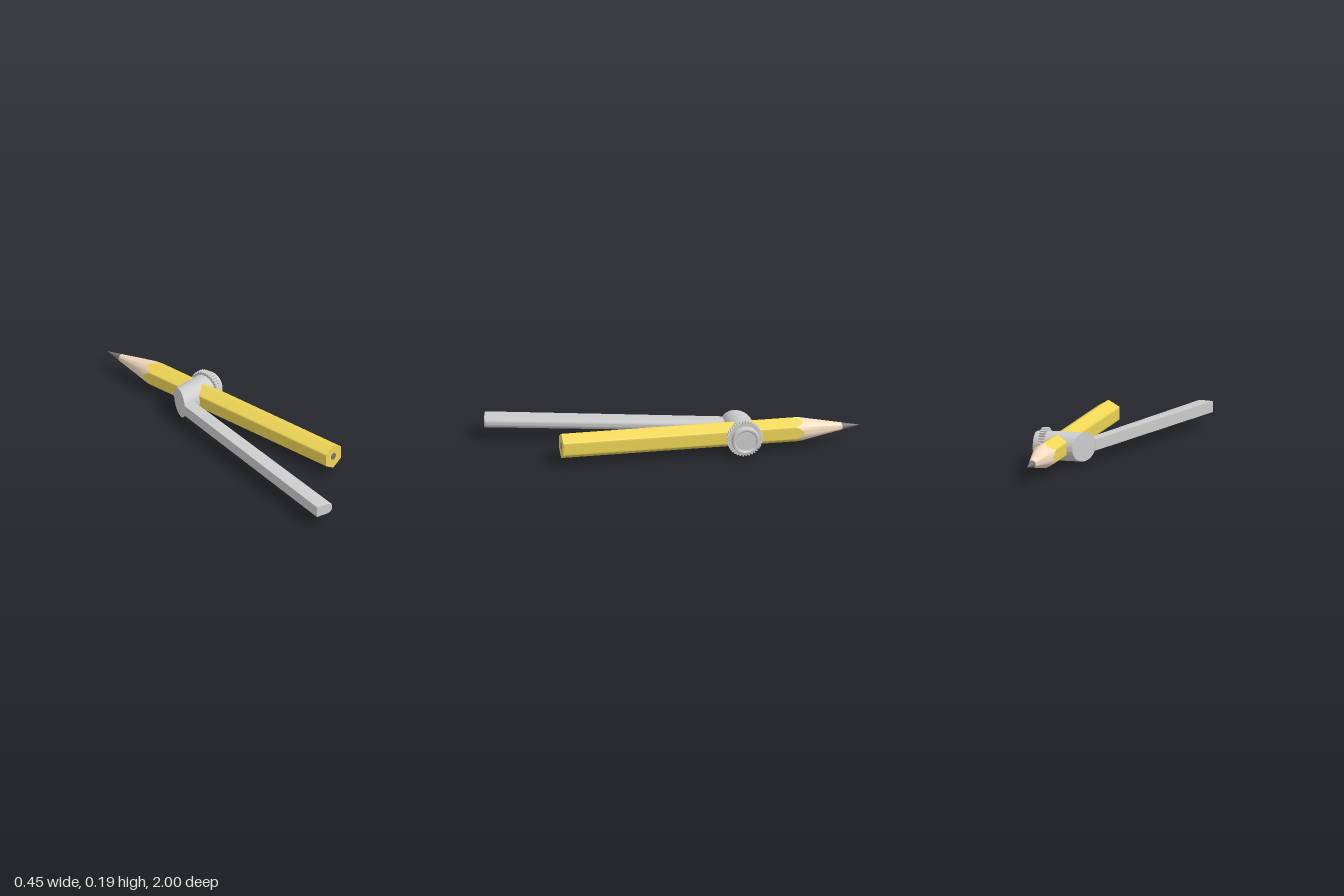
import * as THREE from 'three';
import { toCreasedNormals } from 'three/addons/utils/BufferGeometryUtils.js';

const material = (color) => new THREE.MeshStandardMaterial({ color });
const grey = material(0xcccccc);
const yellow = material(0xeed556);
const wood = material(0xf5dcc0);
const graphite = material(0x75757a);

function part(parent, name, geometry, mat) {
  const mesh = new THREE.Mesh(geometry, mat);
  mesh.name = name;
  parent.add(mesh);
  return mesh;
}

// Skin through closed rings that advance along +z, each counter-clockwise seen from +z
function loft(rings, crease = 0.5, caps = true) {
  const n = rings[0].length;
  const pos = [];
  const idx = [];
  rings.forEach((r) => r.forEach((p) => pos.push(p.x, p.y, p.z)));
  for (let k = 0; k < rings.length - 1; k++) {
    for (let i = 0; i < n; i++) {
      const j = (i + 1) % n;
      const a = k * n + i, b = k * n + j;
      idx.push(a, b, b + n, a, b + n, a + n);
    }
  }
  if (caps) {
    [0, rings.length - 1].forEach((k) => {
      const c = new THREE.Vector3();
      rings[k].forEach((p) => c.addScaledVector(p, 1 / n));
      const ci = pos.length / 3;
      pos.push(c.x, c.y, c.z);
      for (let i = 0; i < n; i++) {
        const a = k * n + i, b = k * n + (i + 1) % n;
        if (k === 0) idx.push(ci, b, a);
        else idx.push(ci, a, b);
      }
    });
  }
  const g = new THREE.BufferGeometry();
  g.setAttribute('position', new THREE.Float32BufferAttribute(pos, 3));
  g.setIndex(idx);
  return toCreasedNormals(g, crease);
}

// Hexagon with slightly rounded corners, one corner at the top
function hexagon(apothem, radius) {
  const pts = [];
  const reach = (apothem - radius) / Math.cos(Math.PI / 6);
  const corner = (c, t) => {
    const a = Math.PI / 2 + c * Math.PI / 3;
    const b = a + t * Math.PI / 6;
    return new THREE.Vector2(
      reach * Math.cos(a) + radius * Math.cos(b),
      reach * Math.sin(a) + radius * Math.sin(b));
  };
  for (let c = 0; c < 6; c++) {
    for (let s = 0; s <= 4; s++) pts.push(corner(c, s / 2 - 1));
    // points along the flat, for the scalloped paint edge
    for (let s = 1; s < 8; s++) pts.push(corner(c, 1).lerp(corner(c + 1, -1), s / 8));
  }
  return pts;
}

function buildPencil() {
  const pencil = new THREE.Group();
  pencil.name = 'pencil';
  const tip = -1.025, end = 0.594, slope = 0.193, leadLength = 0.1;
  const leadR = slope * leadLength;
  const hex = hexagon(0.0608, 0.008);

  // paint edge: where the sharpening cone meets the hexagon
  const edge = hex.map((p) => new THREE.Vector3(p.x, p.y, tip + p.length() / slope));
  const back = hex.map((p) => new THREE.Vector3(p.x, p.y, end));
  const neck = hex.map((p) => {
    const d = p.clone().setLength(leadR);
    return new THREE.Vector3(d.x, d.y, tip + leadLength);
  });
  part(pencil, 'pencilBody', loft([edge, back], 0.5), yellow);
  part(pencil, 'sharpenedWood', loft([neck, edge], 0.8, false), wood);

  const lead = new THREE.ConeGeometry(leadR, leadLength, 32).rotateX(-Math.PI / 2);
  part(pencil, 'leadTip', lead, graphite).position.z = tip + leadLength / 2;
  const core = new THREE.CylinderGeometry(0.0193, 0.0193, 0.004, 32).rotateX(Math.PI / 2);
  part(pencil, 'leadCore', core, graphite).position.z = end - 0.001;
  pencil.position.x = 0.023;
  return pencil;
}

function buildClamp() {
  const clamp = new THREE.Group();
  clamp.name = 'clamp';

  // Barrel around the pencil, its outer end cut at a slant
  const barrel = new THREE.CylinderGeometry(0.078, 0.078, 1, 64).rotateZ(-Math.PI / 2);
  const p = barrel.attributes.position;
  for (let i = 0; i < p.count; i++) {
    p.setX(i, p.getX(i) > 0 ? 0.09 : -0.1125 - 0.55 * p.getZ(i));
  }
  part(clamp, 'clampBarrel', toCreasedNormals(barrel, 0.6), grey);

  // Toothed grip of the tightening knob
  const teeth = 36;
  const outline = [];
  for (let i = 0; i < teeth; i++) {
    [[0, 0.088], [0.2, 0.096], [0.6, 0.096], [0.8, 0.088]].forEach(([t, r]) => {
      const a = (i + t) / teeth * Math.PI * 2;
      outline.push(new THREE.Vector2(r * Math.cos(a), r * Math.sin(a)));
    });
  }
  const grip = new THREE.ExtrudeGeometry(new THREE.Shape(outline), { depth: 0.033, bevelEnabled: false });
  part(clamp, 'knobGrip', grip.rotateY(Math.PI / 2), grey).position.x = 0.085;

  // Rounded cap with a recessed face
  const profile = [
    [0, 0.11], [0.075, 0.11], [0.075, 0.142], [0.074, 0.147], [0.071, 0.151], [0.066, 0.152],
    [0.06, 0.152], [0.057, 0.15], [0.055, 0.146], [0.055, 0.14], [0, 0.14],
  ].map(([r, y]) => new THREE.Vector2(r, y));
  const cap = new THREE.LatheGeometry(profile, 48).rotateZ(-Math.PI / 2);
  part(clamp, 'knobCap', toCreasedNormals(cap, 0.6), grey);

  clamp.position.z = -0.384;
  return clamp;
}

// Straight arm: flat outer side, rounded inner side, slightly tapered
function buildArm() {
  const left = -0.228, h = 0.03;
  const section = (right, half, zAt) => {
    const bulge = 0.03;
    const pts = [[left, half], [left, -half]];
    for (let i = 0; i <= 16; i++) {
      const a = -Math.PI / 2 + i / 16 * Math.PI;
      pts.push([right - bulge + bulge * Math.cos(a), half * Math.sin(a)]);
    }
    return pts.map(([x, y]) => new THREE.Vector3(x, y, zAt(x)));
  };
  return loft([
    section(-0.145, h, (x) => -0.262 - (x - left)),
    section(-0.126, h, () => 0.992),
    section(-0.132, h - 0.001, () => 1),
  ], 0.5);
}

export function createModel() {
  const model = new THREE.Group();
  model.name = 'drawingCompass';

  // Pencil and clamp share one frame, swung away from the arm
  const swung = new THREE.Group();
  swung.name = 'pencilLeg';
  swung.rotation.y = 0.245;
  swung.position.y = 0.097;
  swung.add(buildPencil(), buildClamp());
  model.add(swung);

  part(model, 'arm', buildArm(), grey).position.y = 0.097;
  return model;
}
